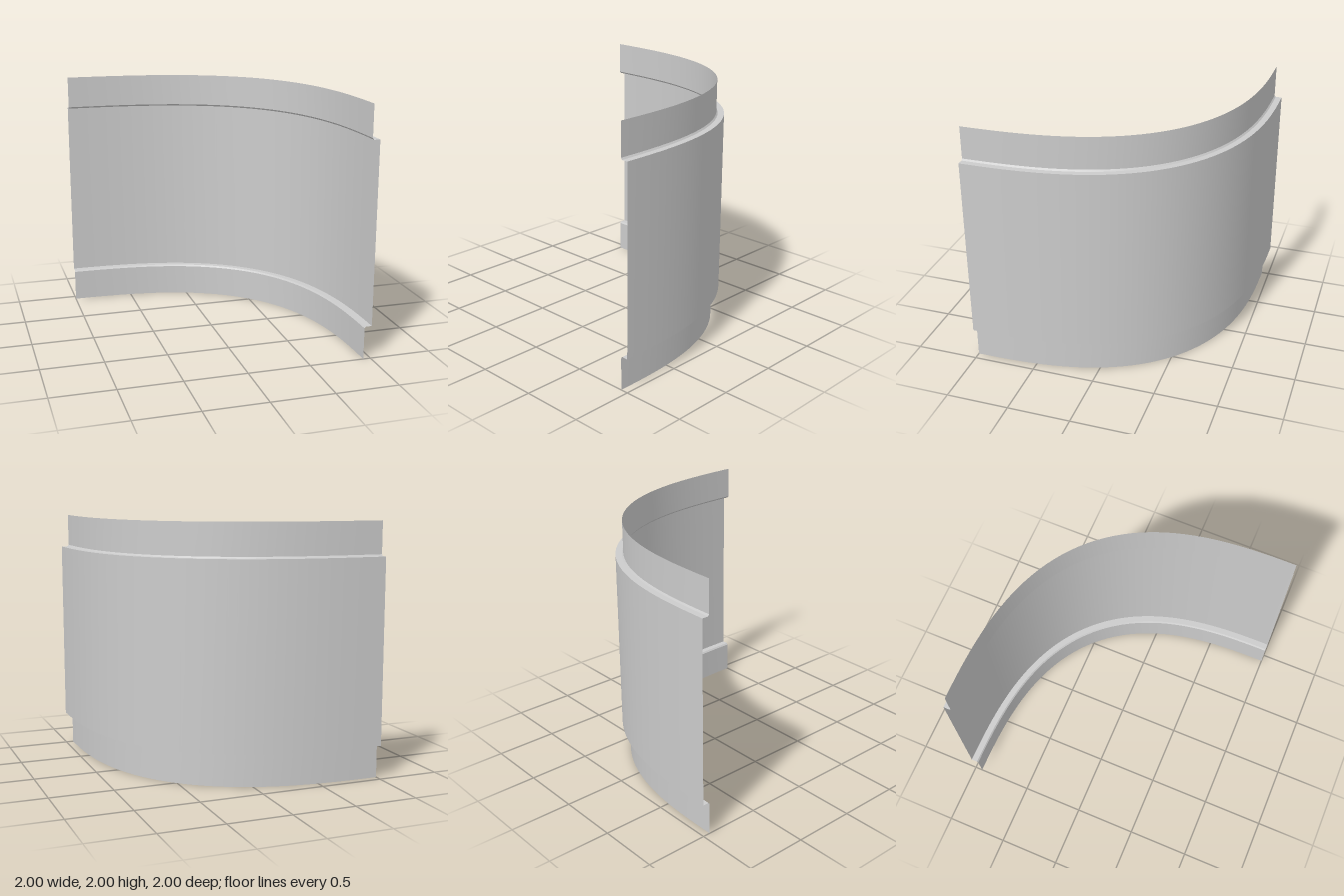
import * as THREE from 'three';

const R = 2, N = 2.7, SEGMENTS = 48;

// Point on the quarter superellipse, moved inward along its normal by inset
function curvePoint(u, inset) {
  const t = u * Math.PI / 2;
  const s = Math.sin(t), c = Math.max(Math.cos(t), 0);
  const r = R / Math.pow(s ** N + c ** N, 1 / N);
  const normal = new THREE.Vector2(s ** (N - 1), c ** (N - 1)).normalize();
  return [-1 + r * s - normal.x * inset, 1 - r * c + normal.y * inset];
}

// Curved strip between two [inset, y] profile points
function strip(name, [insetA, yA], [insetB, yB], material) {
  const positions = [], index = [];
  for (let i = 0; i <= SEGMENTS; i++) {
    const [xa, za] = curvePoint(i / SEGMENTS, insetA);
    const [xb, zb] = curvePoint(i / SEGMENTS, insetB);
    positions.push(xa, yA, za, xb, yB, zb);
    if (i < SEGMENTS) {
      const k = i * 2;
      index.push(k, k + 1, k + 2, k + 1, k + 3, k + 2);
    }
  }
  const geometry = new THREE.BufferGeometry();
  geometry.setAttribute('position', new THREE.Float32BufferAttribute(positions, 3));
  geometry.setIndex(index);
  geometry.computeVertexNormals();
  const mesh = new THREE.Mesh(geometry, material);
  mesh.name = name;
  return mesh;
}

export function createModel() {
  const group = new THREE.Group();
  group.name = 'curvedPanel';
  const material = new THREE.MeshStandardMaterial({ color: 0xcccccc, side: THREE.DoubleSide });

  // Stepped sheet profile, bottom to top: the rims sit inside the main wall
  const profile = [
    [0.06, 0], [0.06, 0.255], [0.05, 0.268], [0, 0.268],
    [0, 1.732], [0.05, 1.732], [0.06, 1.745], [0.06, 2],
  ];
  const names = ['lowerRim', 'lowerChamfer', 'lowerLedge', 'mainWall',
    'upperLedge', 'upperChamfer', 'upperRim'];
  names.forEach((name, i) => group.add(strip(name, profile[i], profile[i + 1], material)));
  return group;
}
